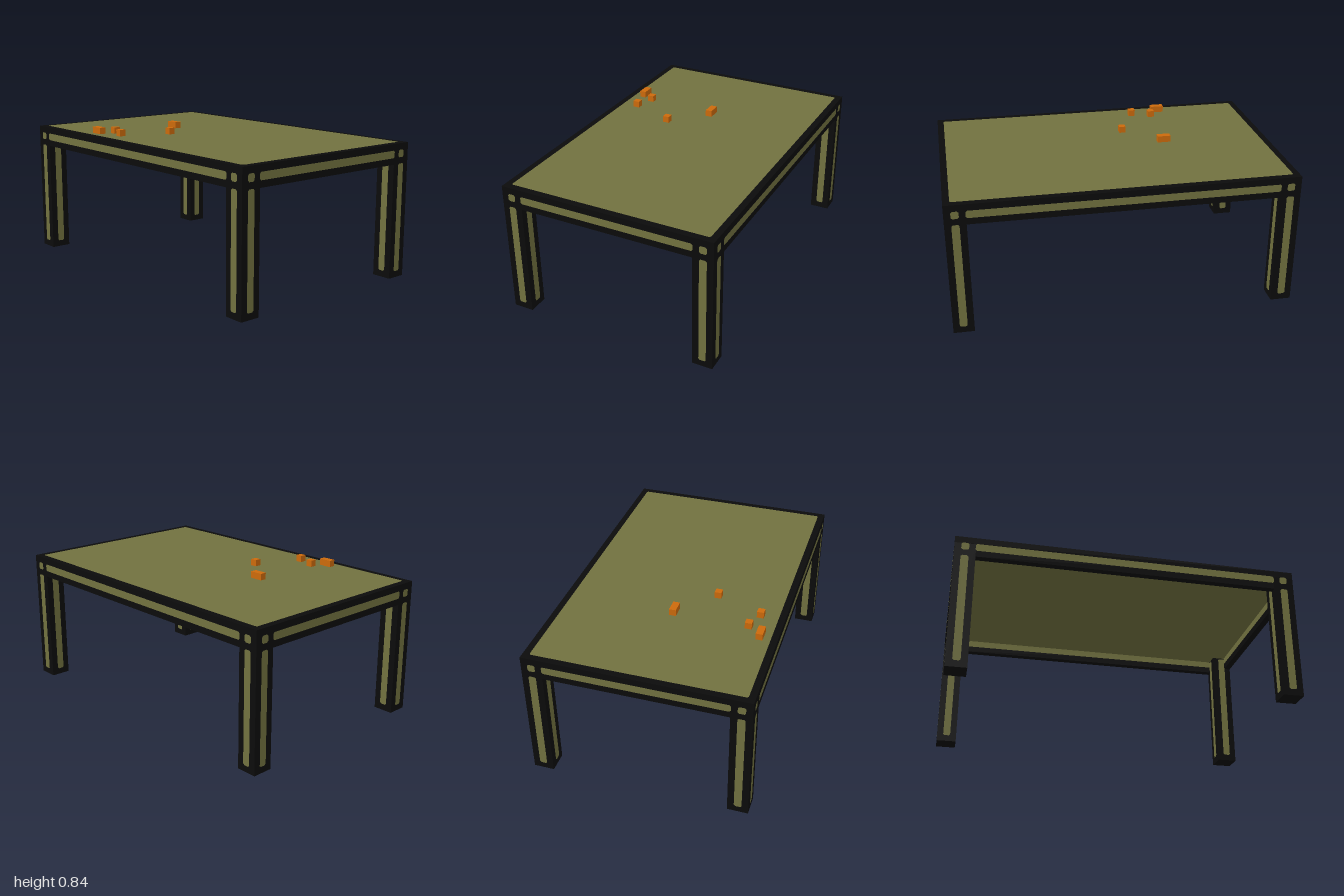
import * as THREE from 'three';

export function createModel() {
  const model = new THREE.Group();
  model.name = 'table';

  const mat = (name, color) => {
    const m = new THREE.MeshStandardMaterial({ color });
    m.name = name;
    return m;
  };
  const black = mat('black frame', 0x0b0b0b);
  const olive = mat('olive panel', 0x71713f);
  const orange = mat('orange block', 0xcc6a0b);

  const W = 1.28, D = 2, H = 0.8, U = 0.04, LEG = 3 * U, LIFT = 0.001;

  const add = (parent, name, geometry, material, x, y, z) => {
    const mesh = new THREE.Mesh(geometry, material);
    mesh.name = name;
    mesh.position.set(x, y, z);
    parent.add(mesh);
    return mesh;
  };
  const box = (parent, name, material, w, h, d, x, y, z) =>
    add(parent, name, new THREE.BoxGeometry(w, h, d), material, x, y, z);

  // Flat inlay with clipped corners, facing +z
  const inlay = (w, h) => {
    const a = w / 2 + 0.002, b = h / 2 + 0.002, c = 0.008;
    return new THREE.ShapeGeometry(new THREE.Shape([
      [-a + c, -b], [a - c, -b], [a, -b + c], [a, b - c],
      [a - c, b], [-a + c, b], [-a, b - c], [-a, -b + c],
    ].map(([x, y]) => new THREE.Vector2(x, y))));
  };

  // Top board with its inlay and underside
  box(model, 'topBoard', black, W, U, D, 0, H - U / 2, 0);
  add(model, 'topInlay', inlay(W - 2 * U, D - 2 * U), olive, 0, H + LIFT, 0).rotation.x = -Math.PI / 2;
  add(model, 'underside', new THREE.PlaneGeometry(W - 2 * U, D - 2 * U), olive, 0, H - U - LIFT, 0).rotation.x = Math.PI / 2;

  // Legs
  for (const sx of [-1, 1]) for (const sz of [-1, 1]) {
    box(model, 'leg', black, LEG, H - U, LEG,
      sx * (W - LEG) / 2, (H - U) / 2, sz * (D - LEG) / 2);
  }

  // Four sides: apron and inlays on the outer and inner faces
  for (let i = 0; i < 4; i++) {
    const side = new THREE.Group();
    side.name = ['frontSide', 'leftSide', 'backSide', 'rightSide'][i];
    side.rotation.y = i * Math.PI / 2;
    model.add(side);
    const w = i % 2 ? D : W;
    const face = (i % 2 ? W : D) / 2;
    const span = w - 2 * LEG, railY = H - 1.5 * U;

    box(side, 'apron', black, span, 2 * U, U, 0, H - 2 * U, face - U / 2);
    add(side, 'apronInlay', inlay(span, U), olive, 0, railY, face + LIFT);
    add(side, 'innerApronInlay', inlay(span, U), olive, 0, railY, face - U - LIFT).rotation.y = Math.PI;

    for (const s of [-1, 1]) {
      const x = s * (w - LEG) / 2;
      add(side, 'cornerInlay', inlay(U, U), olive, x, railY, face + LIFT);
      add(side, 'legInlay', inlay(U, 0.64), olive, x, 0.36, face + LIFT);
      add(side, 'innerLegInlay', inlay(U, 0.71), olive, x, 0.395, face - LEG - LIFT).rotation.y = Math.PI;
    }
  }

  // Small blocks on the table: x, z, length
  for (const [x, z, d] of [
    [-0.54, -0.44, 0.08], [-0.46, -0.38, U], [-0.5, -0.26, U],
    [-0.22, -0.14, U], [-0.02, -0.36, 0.08],
  ]) box(model, 'block', orange, U, U, d, x, H + U / 2, z);

  return model;
}
